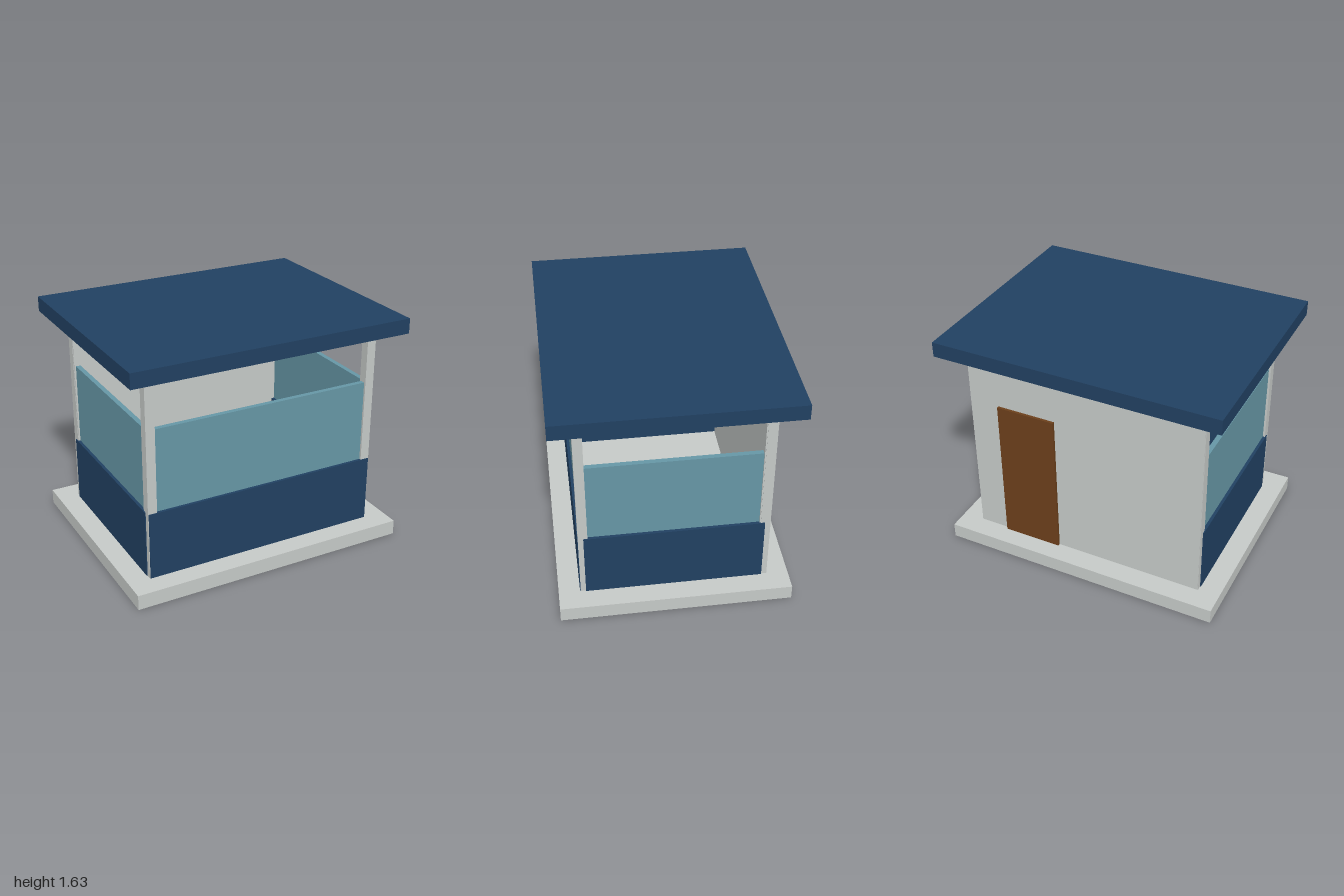
import * as THREE from 'three';

function material(name, color) {
  const m = new THREE.MeshStandardMaterial({ color });
  m.name = name;
  return m;
}

export function createModel() {
  const navy = material('navy', 0x214061);
  const grey = material('light grey', 0xc5c9c7);
  const teal = material('glass teal', 0x6696a5);
  const brown = material('door brown', 0x6b3f1b);

  const model = new THREE.Group();
  model.name = 'guardBooth';

  // Box from its extents along each axis
  function box(name, mat, [x0, x1], [y0, y1], [z0, z1]) {
    const mesh = new THREE.Mesh(new THREE.BoxGeometry(x1 - x0, y1 - y0, z1 - z0), mat);
    mesh.position.set((x0 + x1) / 2, (y0 + y1) / 2, (z0 + z1) / 2);
    mesh.name = name;
    model.add(mesh);
  }
  // Extent from centre and full width
  const span = (centre, width) => [centre - width / 2, centre + width / 2];

  const floorTop = 0.105, sill = 0.58, glassTop = 1.16, roofBottom = 1.53;
  const postX = 0.816, postZ = 0.608, postSize = 0.064;

  // Floor slab and flat roof
  box('base', grey, [-1, 1], [0, floorTop], [-0.79, 0.79]);
  box('roof', navy, [-1, 1], [roofBottom, 1.635], [-0.79, 0.79]);

  // Corner posts
  for (const sx of [-1, 1]) {
    for (const sz of [-1, 1]) {
      box('cornerPost', grey, span(sx * postX, postSize), [floorTop, roofBottom], span(sz * postZ, postSize));
    }
  }

  // Front: low wall with a window above
  box('frontWall', navy, [-0.844, 0.844], [floorTop, sill], span(postZ, 0.074));
  box('frontWindow', teal, [-postX, postX], [sill, glassTop], span(postZ, 0.034));

  // Sides: low walls with windows above
  for (const sx of [-1, 1]) {
    box('sideWall', navy, span(sx * postX, 0.076), [floorTop, sill], [-0.604, 0.604]);
    box('sideWindow', teal, span(sx * postX, 0.034), [sill, glassTop], [-postZ, postZ]);
  }

  // Back wall, stopping short of the roof, and its door
  box('backWall', grey, [-0.845, 0.845], [floorTop, 1.475], [-0.643, -0.568]);
  box('door', brown, [0.21, 0.63], [floorTop, glassTop], [-0.662, -0.64]);

  return model;
}
